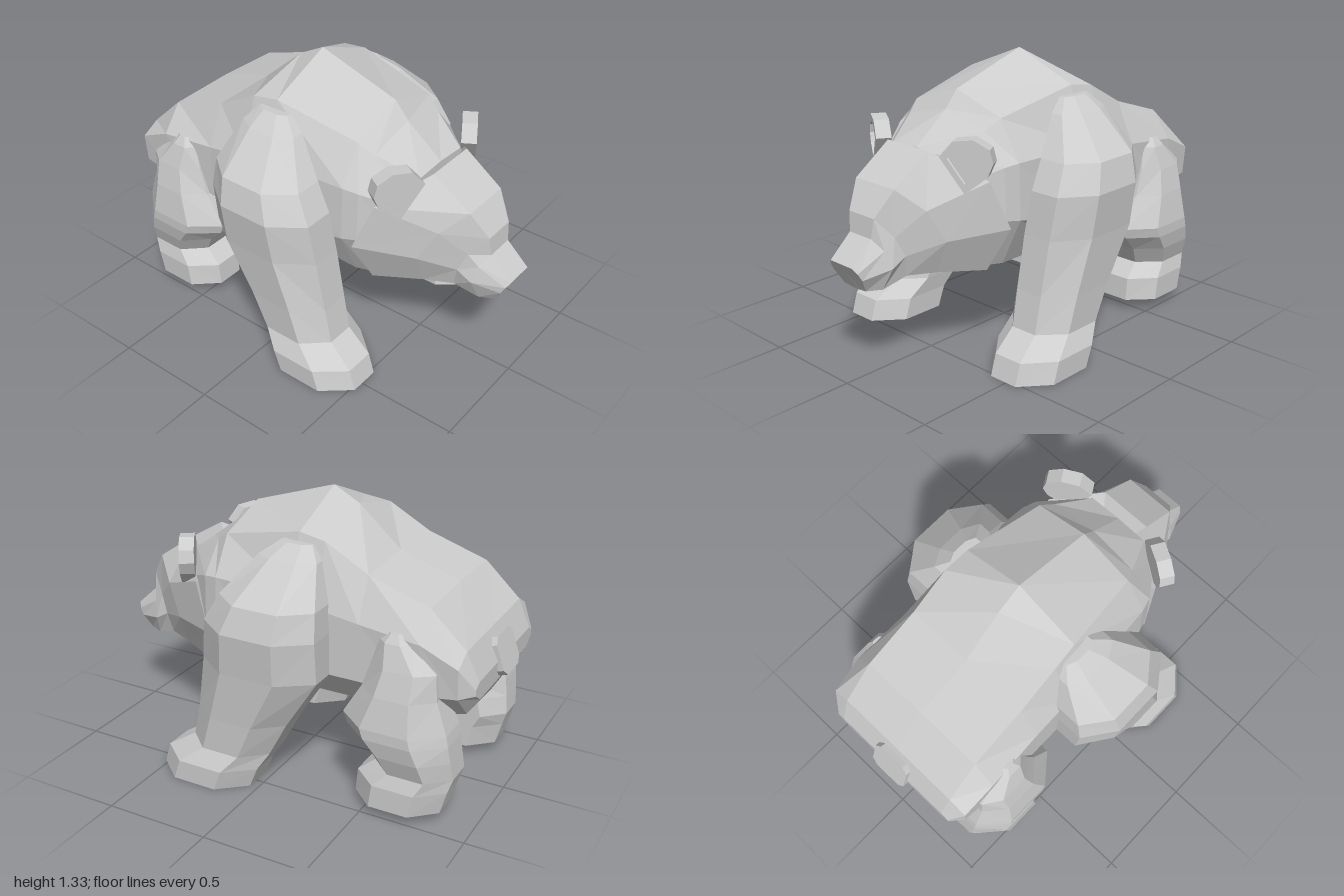
import * as THREE from 'three';

const fur = new THREE.MeshStandardMaterial({ color: 0xcccccc });
fur.name = 'light grey fur';

function mesh(geometry, name) {
  const g = geometry.index ? geometry.toNonIndexed() : geometry;
  g.computeVertexNormals(); // unshared corners give flat facets
  const m = new THREE.Mesh(g, fur);
  m.name = name;
  return m;
}

// Skin a row of closed rings and cap both ends, facing outwards
function loft(rings, name) {
  const n = rings[0].length;
  const pts = rings.flat().map((p) => new THREE.Vector3(...p));
  const tris = [];
  for (let r = 0; r < rings.length - 1; r++) {
    for (let i = 0; i < n; i++) {
      const a = r * n + i, b = r * n + ((i + 1) % n);
      tris.push([a, b, b + n], [a, b + n, a + n]);
    }
  }
  const last = (rings.length - 1) * n;
  for (const [start, flip] of [[0, true], [last, false]]) {
    const c = new THREE.Vector3();
    for (let i = 0; i < n; i++) c.addScaledVector(pts[start + i], 1 / n);
    pts.push(c);
    for (let i = 0; i < n; i++) {
      const a = start + i, b = start + ((i + 1) % n);
      tris.push(flip ? [b, a, pts.length - 1] : [a, b, pts.length - 1]);
    }
  }
  let volume = 0;
  for (const [a, b, c] of tris) volume += pts[a].dot(pts[b].clone().cross(pts[c]));
  const index = tris.flatMap(([a, b, c]) => (volume < 0 ? [a, c, b] : [a, b, c]));
  const g = new THREE.BufferGeometry().setFromPoints(pts);
  g.setIndex(index);
  return mesh(g, name);
}

// Complete a half ring (top centre to bottom centre) by mirroring it in x
const mirrorRing = (half) => [
  ...half,
  ...half.slice(1, -1).reverse().map(([x, y, z]) => [-x, y, z]),
];

// Eight-sided horizontal ring; s is the side of the body
function legRing([y, x0, x1, z0, z1], s) {
  const w = x1 - x0, d = z1 - z0, cx = w * 0.3, cz = d * 0.27;
  return [
    [x0 + cx, z0], [x1 - cx, z0], [x1, z0 + cz], [x1, z1 - cz],
    [x1 - cx, z1], [x0 + cx, z1], [x0, z1 - cz], [x0, z0 + cz],
  ].map(([x, z]) => [s * x, y, z]);
}

// Torso sections: z, then half profile from spine to belly
const torso = [
  [0.56, [[0, 0.98], [0.16, 0.97], [0.24, 0.85], [0.24, 0.65], [0.15, 0.47], [0, 0.45]]],
  [0.38, [[0, 1.12], [0.24, 1.06], [0.36, 0.92], [0.37, 0.68], [0.27, 0.45], [0, 0.42]]],
  [0.31, [[0, 1.2], [0.27, 1.11], [0.38, 0.93], [0.39, 0.67], [0.28, 0.44], [0, 0.41]]],
  [-0.1, [[0, 1.33], [0.32, 1.2], [0.41, 0.93], [0.41, 0.6], [0.28, 0.44], [0, 0.315]]],
  [-0.23, [[0, 1.26], [0.33, 1.18], [0.42, 0.9], [0.42, 0.6], [0.28, 0.44], [0, 0.315]]],
  [-0.44, [[0, 1.075], [0.33, 1.065], [0.42, 0.87], [0.42, 0.6], [0.28, 0.44], [0, 0.325]]],
  [-0.73, [[0, 0.98], [0.33, 0.97], [0.43, 0.84], [0.42, 0.6], [0.28, 0.45], [0, 0.4]]],
  [-0.9, [[0, 0.81], [0.33, 0.81], [0.42, 0.76], [0.41, 0.62], [0.29, 0.5], [0, 0.48]]],
  [-0.96, [[0, 0.68], [0.32, 0.68], [0.36, 0.66], [0.36, 0.63], [0.3, 0.59], [0, 0.59]]],
];

// Head half rings from the back of the cheeks to the nose
const head = [
  [[0, 1, 0.61], [0.13, 1, 0.61], [0.34, 0.87, 0.45], [0.38, 0.64, 0.36], [0.27, 0.43, 0.4], [0, 0.41, 0.42]],
  [[0, 0.87, 0.8], [0.125, 0.87, 0.8], [0.21, 0.77, 0.7], [0.25, 0.62, 0.62], [0.18, 0.46, 0.62], [0, 0.44, 0.62]],
  [[0, 0.75, 0.88], [0.08, 0.75, 0.88], [0.13, 0.66, 0.81], [0.15, 0.57, 0.77], [0.13, 0.47, 0.75], [0, 0.45, 0.75]],
  [[0, 0.66, 0.89], [0.07, 0.66, 0.89], [0.12, 0.61, 0.86], [0.145, 0.53, 0.84], [0.1, 0.43, 0.86], [0, 0.42, 0.86]],
  [[0, 0.56, 1], [0.07, 0.56, 1], [0.09, 0.535, 0.985], [0.095, 0.5, 0.965], [0.07, 0.435, 0.93], [0, 0.43, 0.93]],
];

// Leg sections: y, x from, x to, z from, z to
const foreleg = [
  [1.16, 0.3, 0.37, -0.18, -0.02], [1.1, 0.3, 0.45, -0.23, 0.06],
  [0.93, 0.3, 0.63, -0.29, 0.19], [0.8, 0.3, 0.665, -0.3, 0.26],
  [0.6, 0.28, 0.645, -0.3, 0.285], [0.35, 0.28, 0.63, -0.14, 0.325],
  [0.18, 0.29, 0.625, -0.05, 0.36], [0.1, 0.3, 0.665, 0, 0.49],
  [0, 0.3, 0.665, 0.04, 0.52],
];
const hindleg = [
  [0.87, 0.36, 0.43, -0.65, -0.58], [0.83, 0.33, 0.455, -0.69, -0.54],
  [0.72, 0.3, 0.49, -0.81, -0.51], [0.6, 0.24, 0.52, -0.82, -0.47],
  [0.45, 0.18, 0.545, -0.87, -0.38], [0.4, 0.18, 0.545, -0.88, -0.4],
  [0.32, 0.18, 0.53, -0.89, -0.48], [0.23, 0.18, 0.5, -0.9, -0.53],
  [0.165, 0.18, 0.52, -0.88, -0.45], [0.055, 0.18, 0.52, -0.85, -0.44],
];

// Thick ear rim around a recessed hollow
function ear(s, name) {
  const outline = [[-0.11, 0.04], [-0.05, 0.11], [0.04, 0.12], [0.11, 0.08], [0.125, 0.02], [0.1, -0.04], [0, -0.12]];
  const pts = (k) => outline.map(([x, y]) => new THREE.Vector2(s * x * k, y * k + (1 - k) * 0.02));
  const rim = new THREE.Shape(pts(1));
  rim.holes.push(new THREE.Path(pts(0.68)));
  const g = new THREE.Group();
  g.name = name;
  g.add(mesh(new THREE.ExtrudeGeometry(rim, { depth: 0.07, bevelEnabled: false }), 'earRim'));
  g.add(mesh(new THREE.ExtrudeGeometry(new THREE.Shape(pts(0.7)), { depth: 0.05, bevelEnabled: false }), 'earHollow'));
  g.position.set(s * 0.26, 0.95, 0.5);
  g.rotation.y = s * 0.55;
  return g;
}

// Short slab tail with clipped corners
function tail() {
  const shape = new THREE.Shape([
    [-0.07, -0.09], [0.07, -0.09], [0.1, -0.06], [0.1, 0.06],
    [0.07, 0.09], [-0.07, 0.09], [-0.1, 0.06], [-0.1, -0.06],
  ].map(([x, y]) => new THREE.Vector2(x, y)));
  const g = new THREE.ExtrudeGeometry(shape, { depth: 0.06, bevelEnabled: false });
  g.translate(0, 0, -0.03);
  const m = mesh(g, 'tail');
  m.position.set(0, 0.69, -0.942);
  m.rotation.x = 0.33;
  return m;
}

export function createModel() {
  const model = new THREE.Group();
  model.name = 'bear';
  model.add(loft(torso.map(([z, half]) => mirrorRing(half.map(([x, y]) => [x, y, z]))), 'torso'));
  model.add(loft(head.map(mirrorRing), 'head'));
  for (const [s, side] of [[1, 'left'], [-1, 'right']]) {
    model.add(loft(foreleg.map((r) => legRing(r, s)), side + 'Foreleg'));
    model.add(loft(hindleg.map((r) => legRing(r, s)), side + 'HindLeg'));
    model.add(ear(s, side + 'Ear'));
  }
  model.add(tail());
  return model;
}
